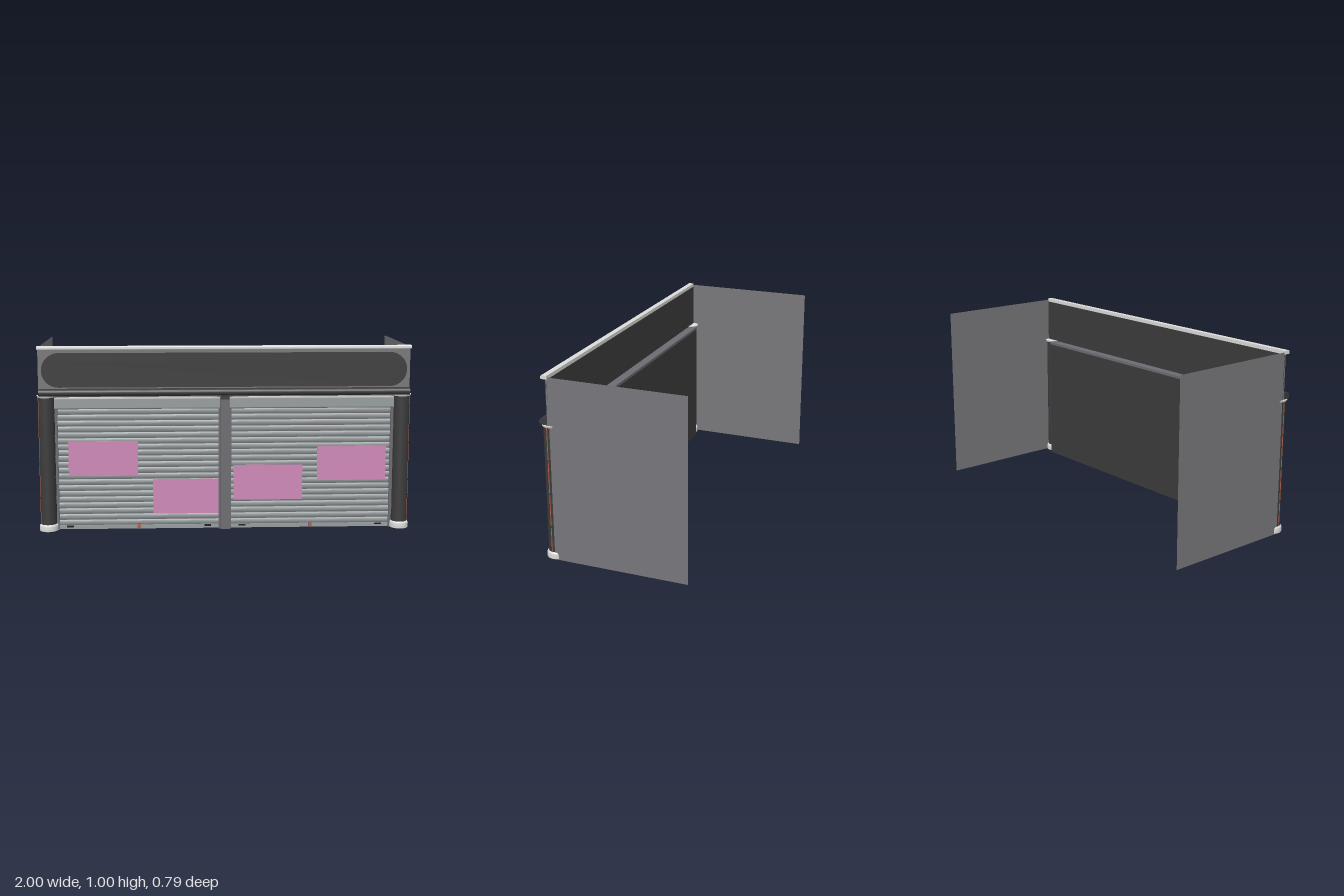
import * as THREE from 'three';

const mat = (name, color, side = THREE.FrontSide) => {
  const m = new THREE.MeshStandardMaterial({ color, side });
  m.name = name;
  return m;
};

export function createModel() {
  const wallGrey = mat('wall grey', 0x77777b, THREE.DoubleSide);
  const dark = mat('charcoal', 0x3c3c3c);
  const white = mat('off white', 0xdcdcda);
  const steel = mat('shutter steel', 0x979d9e);
  const frameGrey = mat('frame grey', 0x6c6c72);
  const pink = mat('poster pink', 0xd089b9);
  const black = mat('black', 0x1c1c1c);
  const rust = mat('rust orange', 0xb0604c);

  const root = new THREE.Group();
  root.name = 'shopFront';

  const add = (name, geo, material, x = 0, y = 0, z = 0) => {
    const m = new THREE.Mesh(geo, material);
    m.name = name;
    m.position.set(x, y, z);
    root.add(m);
    return m;
  };
  // box given by its limits
  const box = (name, material, x0, x1, y0, y1, z0, z1) =>
    add(name, new THREE.BoxGeometry(x1 - x0, y1 - y0, z1 - z0), material,
      (x0 + x1) / 2, (y0 + y1) / 2, (z0 + z1) / 2);
  // rail running along x from a (z, y) cross-section
  const rail = (name, material, shape, x0, x1, y = 0) => {
    const g = new THREE.ExtrudeGeometry(shape, { depth: x1 - x0, bevelEnabled: false, curveSegments: 10 });
    g.rotateY(-Math.PI / 2);
    return add(name, g, material, x1, y, 0);
  };
  // (z, y) rectangle with a rounded front
  const roundFront = (z0, z1, y0, y1, r) => {
    const s = new THREE.Shape();
    s.moveTo(z0, y0);
    s.lineTo(z1 - r, y0);
    s.absarc(z1 - r, y0 + r, r, -Math.PI / 2, 0);
    s.lineTo(z1, y1 - r);
    s.absarc(z1 - r, y1 - r, r, 0, Math.PI / 2);
    s.lineTo(z0, y1);
    s.closePath();
    return s;
  };

  // Side walls
  for (const s of [-1, 1]) {
    const wall = add('sideWall', new THREE.PlaneGeometry(0.745, 0.99), wallGrey, s * 0.99, 0.495, -0.0235);
    wall.rotation.y = s * Math.PI / 2;
  }

  // Sign band with its rounded board, cornice and awning roll
  box('signPanel', wallGrey, -0.99, 0.99, 0.73, 0.985, 0.342, 0.349);
  box('signBack', dark, -0.99, 0.99, 0.735, 0.978, 0.339, 0.342);
  const board = new THREE.Shape();
  const r = 0.091, half = 0.972 - r;
  board.moveTo(-half, -r);
  board.lineTo(half, -r);
  board.absarc(half, 0, r, -Math.PI / 2, Math.PI / 2);
  board.lineTo(-half, r);
  board.absarc(-half, 0, r, Math.PI / 2, Math.PI * 1.5);
  add('signBoard', new THREE.ExtrudeGeometry(board, { depth: 0.012, bevelEnabled: false, curveSegments: 24 }),
    dark, 0, 0.87, 0.349);
  rail('cornice', white, roundFront(0.34, 0.374, 0.979, 0.998, 0.006), -0.993, 0.993);
  rail('awningRoll', dark, roundFront(0.345, 0.396, 0.735, 0.772, 0.018), -0.985, 0.985);

  // Shutter housing
  box('housing', frameGrey, -0.91, 0.91, 0.004, 0.73, 0.292, 0.318);
  box('housingTop', frameGrey, -0.91, 0.91, 0.722, 0.735, 0.29, 0.345);
  box('backPanel', dark, -0.91, 0.91, 0, 0.72, 0.288, 0.292);

  // Columns with bases and caps
  const V = (x, y) => new THREE.Vector2(x, y);
  const baseGeo = new THREE.LatheGeometry(
    [V(0, 0.003), V(0.048, 0.003), V(0.05, 0.006), V(0.05, 0.03), V(0.047, 0.036), V(0.041, 0.04), V(0, 0.04)], 32);
  for (const s of [-1, 1]) {
    const x = s * 0.95, z = 0.347;
    add('column', new THREE.CylinderGeometry(0.041, 0.041, 0.69, 32), dark, x, 0.382, z);
    add('columnBase', baseGeo, white, x, 0, z);
    add('columnFoot', new THREE.CylinderGeometry(0.046, 0.046, 0.004, 32), black, x, 0.002, z);
    add('columnCap', new THREE.CylinderGeometry(0.05, 0.046, 0.01, 32), white, x, 0.732, z);
    // thin strip and clips on the outer face
    const a = s * 0.99, b = s * 0.993;
    box('columnStrip', rust, Math.min(a, b), Math.max(a, b), 0.04, 0.727, 0.35, 0.354);
    for (const y of [0.183, 0.368, 0.55])
      box('stripClip', black, Math.min(a, b) - 0.001, Math.max(a, b) + 0.001, y - 0.002, y + 0.002, 0.349, 0.356);
  }

  // Centre post
  box('centrePost', frameGrey, -0.023, 0.023, 0, 0.73, 0.292, 0.35);
  for (const s of [-1, 1])
    box('postLip', frameGrey, s * 0.018 - 0.005, s * 0.018 + 0.005, 0, 0.725, 0.35, 0.355);
  box('postBracket', dark, -0.022, 0.022, 0.712, 0.735, 0.35, 0.358);

  // Roller shutters
  const pitch = 0.032;
  const slat = new THREE.Shape();
  slat.moveTo(0.316, 0);
  slat.lineTo(0.323, 0);
  slat.quadraticCurveTo(0.33, 0.013, 0.323, 0.026);
  slat.lineTo(0.316, 0.026);
  slat.closePath();
  for (const s of [-1, 1]) {
    const span = (a, b) => (s > 0 ? [a, b] : [-b, -a]);
    const [x0, x1] = span(0.034, 0.896);
    for (let i = 0; i < 20; i++) rail('shutterSlat', steel, slat, x0, x1, 0.026 + i * pitch);
    box('shutterBottomBar', steel, x0, x1, 0.002, 0.022, 0.31, 0.328);
    rail('shutterHood', steel, roundFront(0.316, 0.343, 0.66, 0.722, 0.008), ...span(0.026, 0.91));
    box('hoodTrim', white, ...span(0.04, 0.9), 0.722, 0.726, 0.32, 0.347);
    box('outerGuide', frameGrey, ...span(0.894, 0.908), 0, 0.66, 0.316, 0.338);
    box('innerGuide', frameGrey, ...span(0.023, 0.034), 0, 0.66, 0.316, 0.338);
    for (const x of [0.093, 0.838])
      box('shutterHandle', black, ...span(x - 0.018, x + 0.018), 0.014, 0.022, 0.328, 0.336);
    // Padlock
    const lx = s * 0.465;
    box('padlock', rust, lx - 0.009, lx + 0.009, 0.008, 0.026, 0.328, 0.337);
    add('padlockShackle', new THREE.TorusGeometry(0.006, 0.002, 6, 12, Math.PI), frameGrey, lx, 0.028, 0.333);
  }

  // Posters
  for (const [x0, x1, y0, y1] of [
    [-0.84, -0.468, 0.3, 0.485], [-0.388, -0.034, 0.085, 0.275],
    [0.047, 0.42, 0.158, 0.35], [0.5, 0.873, 0.263, 0.45]])
    box('poster', pink, x0, x1, y0, y1, 0.328, 0.332);

  return root;
}
